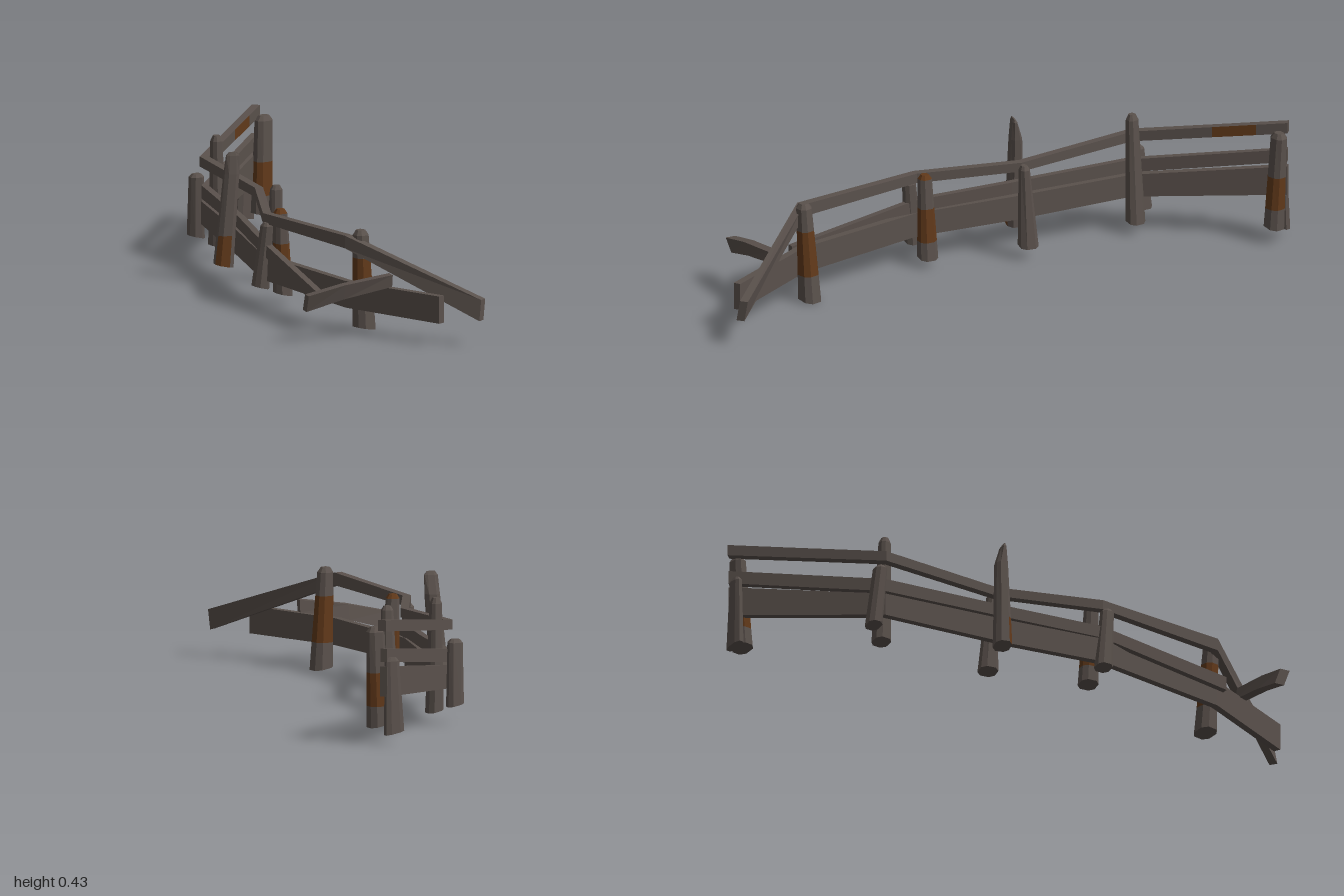
import * as THREE from 'three';

const wood = new THREE.MeshStandardMaterial({ color: 0x5a514c });
wood.name = 'weathered wood';
const rust = new THREE.MeshStandardMaterial({ color: 0x61391a });
rust.name = 'brown stain';

// Flat-faced solid through matching rings; isRust(segment, side) picks stained faces
function loft(name, rings, isRust = () => false) {
  const lists = [[], []];
  const tri = (list, ...pts) => pts.forEach((p) => list.push(p.x, p.y, p.z));
  const n = rings[0].length;
  for (let s = 0; s < rings.length - 1; s++) {
    const a = rings[s], b = rings[s + 1];
    for (let i = 0; i < n; i++) {
      const j = (i + 1) % n;
      const list = lists[isRust(s, i) ? 1 : 0];
      tri(list, a[i], b[i], b[j], a[i], b[j], a[j]);
    }
  }
  const first = rings[0], last = rings[rings.length - 1];
  const endList = lists[isRust(rings.length - 1, 0) ? 1 : 0];
  for (let i = 1; i < n - 1; i++) {
    tri(lists[0], first[0], first[i], first[i + 1]);
    tri(endList, last[0], last[i + 1], last[i]);
  }
  const geo = new THREE.BufferGeometry();
  geo.setAttribute('position', new THREE.Float32BufferAttribute([...lists[0], ...lists[1]], 3));
  geo.addGroup(0, lists[0].length / 3, 0);
  geo.addGroup(lists[0].length / 3, lists[1].length / 3, 1);
  geo.computeVertexNormals();
  const mesh = new THREE.Mesh(geo, [wood, rust]);
  mesh.name = name;
  return mesh;
}

// Post: chamfered rectangular sections [x, y, z, width, depth], bottom to top
function post(name, sections, yaw = 0, isRust) {
  const c = 0.5;
  const outline = [[1, -c], [1, c], [c, 1], [-c, 1], [-1, c], [-1, -c], [-c, -1], [c, -1]];
  const rings = sections.map(([x, y, z, w, d], k) => outline.map(([u, v]) => {
    const px = u * w / 2, pz = v * d / 2;
    const slant = k === 0 ? u * -0.006 : 0;
    return new THREE.Vector3(
      x + px * Math.cos(yaw) + pz * Math.sin(yaw),
      y + slant,
      z - px * Math.sin(yaw) + pz * Math.cos(yaw));
  }));
  return loft(name, rings, isRust);
}

// Straight tapered post from base to top, with a bevelled cap and extra cuts for a stain
function taperedPost(name, base, top, yaw, cuts = [], isRust) {
  const at = (t) => base.map((v, i) => v + (top[i] - v) * t);
  const cap = [top[0], top[1], top[2], top[3] * 0.6, top[4] * 0.6];
  const shoulder = at(0.95);
  return post(name, [base, ...cuts.map(at), shoulder, cap], yaw, isRust);
}

// Rail: mitred plank through points [x, yBottom, yTop, z, lean], lean shifts the lower edge sideways
function rail(name, pts, thick, isRust) {
  const up = new THREE.Vector3(0, 1, 0);
  const dir = (a, b) => new THREE.Vector3(b[0] - a[0], 0, b[3] - a[3]).normalize();
  const rings = pts.map((p, i) => {
    const d0 = dir(pts[Math.max(i - 1, 0)], pts[Math.max(i, 1)]);
    const d1 = dir(pts[Math.min(i, pts.length - 2)], pts[Math.min(i + 1, pts.length - 1)]);
    const d = d0.clone().add(d1).normalize();
    const half = thick / 2 / d.dot(d0);
    const nrm = d.cross(up);
    const lean = p[4] || 0;
    return [[1, 0], [1, 1], [-1, 1], [-1, 0]].map(([s, v]) =>
      new THREE.Vector3(p[0], v ? p[2] : p[1], p[3])
        .addScaledVector(nrm, s * half - (v ? 0 : lean)));
  });
  return loft(name, rings, isRust);
}

export function createModel() {
  const g = new THREE.Group();
  g.name = 'brokenFence';

  // Top rail, with a stain on its inner face near the far end
  const far = [0.005, 0.367, 0.403, -0.985], bend = [-0.265, 0.302, 0.335, -0.55];
  const mix = (t) => far.map((v, i) => v + (bend[i] - v) * t);
  g.add(rail('topRail', [
    far, mix(0.2), mix(0.48), bend,
    [-0.18, 0.283, 0.313, -0.14],
    [-0.232, 0.27, 0.302, 0.2],
    [-0.07, 0.272, 0.313, 0.65],
    [0.298, 0.086, 0.153, 0.98, -0.012],
  ], 0.027, (s, i) => s === 1 && i === 2));

  // Middle rail, its near end fallen
  g.add(rail('middleRail', [
    [0.0, 0.267, 0.31, -0.985],
    [-0.262, 0.197, 0.24, -0.55],
    [-0.24, 0.184, 0.224, -0.13],
    [-0.237, 0.168, 0.208, 0.2],
    [-0.165, 0.09, 0.135, 0.65],
  ], 0.022));

  // Wide bottom board
  g.add(rail('bottomBoard', [
    [0.0, 0.155, 0.252, -0.985],
    [-0.262, 0.113, 0.188, -0.55],
    [-0.24, 0.094, 0.175, -0.13],
    [-0.235, 0.085, 0.165, 0.2],
    [-0.07, 0.078, 0.165, 0.65],
    [0.167, 0.076, 0.165, 0.955],
  ], 0.024));

  // Loose plank leaning at the near end
  g.add(rail('loosePlank', [
    [-0.245, 0.105, 0.16, 0.825, 0.02],
    [-0.12, 0.138, 0.187, 0.808, 0.014],
    [0.04, 0.168, 0.208, 0.785, 0.006],
  ], 0.034));

  // Inner posts, stained bands on three of them
  const band = (s) => s === 1;
  g.add(taperedPost('nearPost', [-0.015, 0.006, 0.64, 0.068, 0.068], [-0.03, 0.33, 0.655, 0.045, 0.045], 0.4, [0.26, 0.72], band));
  g.add(taperedPost('secondInnerPost', [-0.175, 0.03, 0.178, 0.055, 0.062], [-0.185, 0.31, 0.185, 0.04, 0.04], 0.15,
    [0.2, 0.6], (s) => s === 1 || s >= 3));
  g.add(taperedPost('thirdInnerPost', [-0.127, 0.044, -0.147, 0.052, 0.062], [-0.125, 0.32, -0.132, 0.036, 0.03], 0.1));
  g.add(taperedPost('fourthInnerPost', [-0.222, 0.04, -0.548, 0.052, 0.06], [-0.228, 0.405, -0.538, 0.034, 0.036], 0.3));
  g.add(taperedPost('farPost', [0.012, 0.055, -0.934, 0.064, 0.06], [0.022, 0.376, -0.948, 0.055, 0.042], 0.35, [0.2, 0.54], band));

  // Outer posts
  g.add(taperedPost('secondOuterPost', [-0.254, 0.06, 0.2, 0.05, 0.055], [-0.236, 0.275, 0.22, 0.035, 0.04], 0.2));
  g.add(taperedPost('fourthOuterPost', [-0.282, 0.065, -0.597, 0.052, 0.05], [-0.285, 0.275, -0.575, 0.045, 0.04], 0.2));
  g.add(taperedPost('farOuterPost', [-0.035, 0.036, -0.978, 0.065, 0.032], [-0.028, 0.28, -0.972, 0.045, 0.024], 0.35));

  // Tall outer post with a wedge-shaped top and a stained foot
  g.add(post('tallPost', [
    [-0.292, 0.06, -0.16, 0.06, 0.056],
    [-0.284, 0.16, -0.158, 0.056, 0.05],
    [-0.267, 0.36, -0.155, 0.048, 0.038],
    [-0.264, 0.42, -0.148, 0.043, 0.016],
    [-0.264, 0.432, -0.146, 0.026, 0.005],
  ], 0, (s, i) => s === 0 && (i === 2 || i === 3)));

  return g;
}
